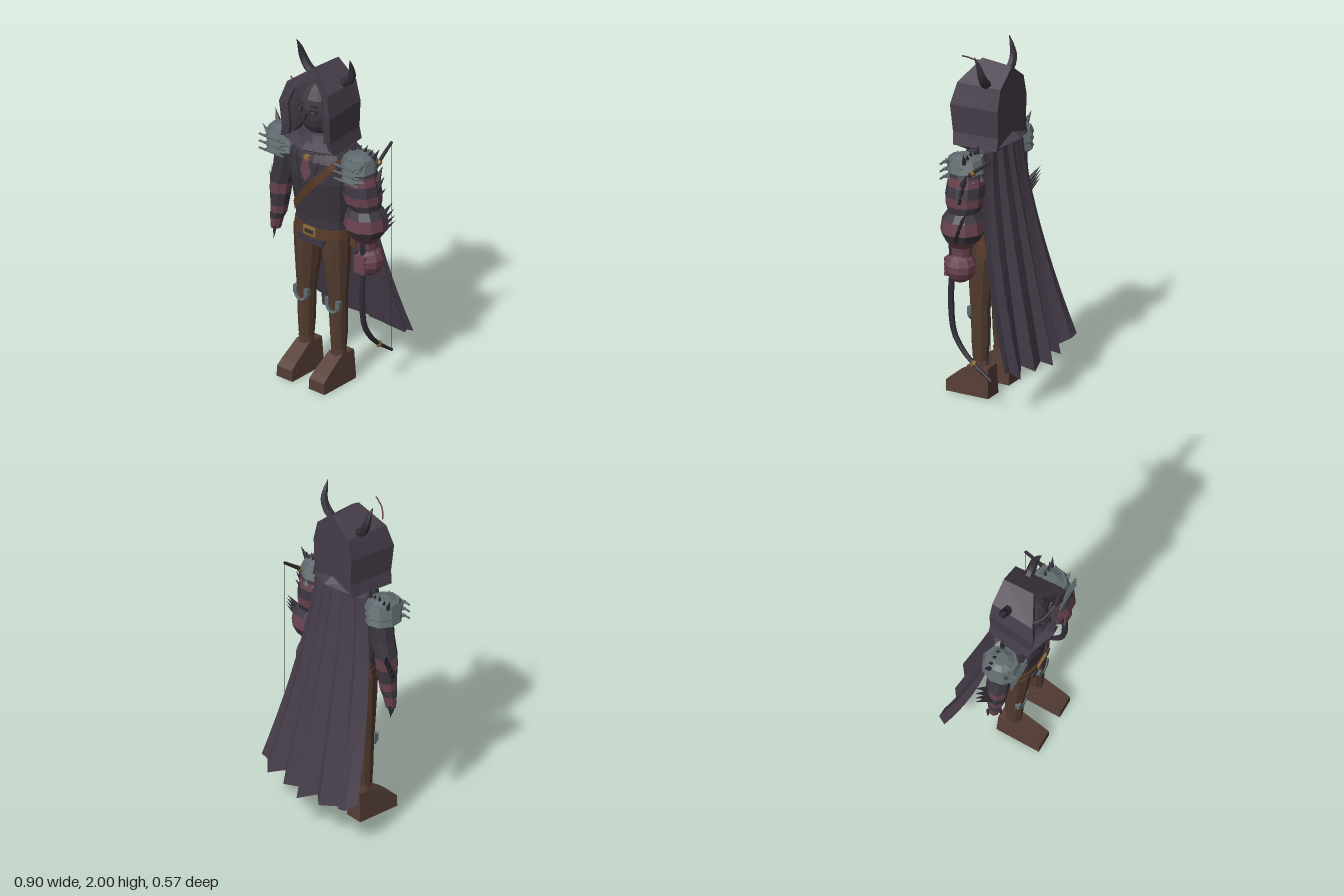
import * as THREE from 'three';

const mat = (name, color, side = THREE.FrontSide) => new THREE.MeshStandardMaterial({ name, color, side });
const V = (x, y, z) => new THREE.Vector3(x, y, z);
const lerp = THREE.MathUtils.lerp;

export function createModel() {
  const D = THREE.DoubleSide;
  const M = {
    cloth: mat('hoodCloth', 0x453c49, D), tunic: mat('tunicCloth', 0x3d3741, D),
    dark: mat('darkHorn', 0x322d37, D), maroon: mat('maroonStripe', 0x69434f, D),
    trousers: mat('brownTrousers', 0x523b2f), boots: mat('bootLeather', 0x553e36),
    leather: mat('strapLeather', 0x5a3c2a, D), gold: mat('brass', 0x8a6c38), steel: mat('steel', 0x606a6e),
  };
  const model = new THREE.Group();
  model.name = 'hoodedArcher';
  const body = new THREE.Group();
  body.name = 'figure';
  body.position.x = -0.025;
  model.add(body);

  const add = (name, geo, material) => {
    const m = new THREE.Mesh(geo, material);
    m.name = name;
    body.add(m);
    return m;
  };
  const flat = (g) => {
    const f = g.index ? g.toNonIndexed() : g;
    f.computeVertexNormals();
    return f;
  };
  // Flat-shaded skin between rows of points; bands become material groups
  const strip = (rows, bands) => {
    const pos = [], g = new THREE.BufferGeometry();
    for (let i = 0; i + 1 < rows.length; i++) {
      const start = pos.length / 3, r = rows[i], s = rows[i + 1];
      for (let j = 0; j + 1 < r.length; j++)
        for (const p of [r[j], r[j + 1], s[j + 1], r[j], s[j + 1], s[j]]) pos.push(p.x, p.y, p.z);
      if (bands) g.addGroup(start, pos.length / 3 - start, bands[i]);
    }
    g.setAttribute('position', new THREE.Float32BufferAttribute(pos, 3));
    g.computeVertexNormals();
    return g;
  };
  // Closed loft through elliptical rings [y, cx, cz, rx, rz], bottom to top
  const loft = (rings, n = 8, bands) => {
    const ring = ([y, cx, cz, rx, rz = rx], k = 1) => Array.from({ length: n + 1 }, (_, j) => {
      const a = ((j + 0.5) / n) * Math.PI * 2;
      return V(cx + Math.sin(a) * rx * k, y, cz + Math.cos(a) * rz * k);
    });
    const rows = [ring(rings[0], 0), ...rings.map((r) => ring(r)), ring(rings[rings.length - 1], 0)];
    return strip(rows, bands && [bands[0], ...bands, bands[bands.length - 1]]);
  };
  // Tapered tube along a curve
  const tube = (pts, radii, n = 6, seg = 12) => {
    const curve = new THREE.CatmullRomCurve3(pts.map((p) => V(...p)));
    const g = new THREE.TubeGeometry(curve, seg, 1, n), p = g.attributes.position, v = V(0, 0, 0);
    for (let i = 0; i <= seg; i++) {
      const c = curve.getPointAt(i / seg), f = (i / seg) * (radii.length - 1), k = Math.min(Math.floor(f), radii.length - 2);
      for (let j = 0; j <= n; j++) {
        const id = i * (n + 1) + j;
        v.fromBufferAttribute(p, id).sub(c).multiplyScalar(lerp(radii[k], radii[k + 1], f - k)).add(c);
        p.setXYZ(id, v.x, v.y, v.z);
      }
    }
    return flat(g);
  };
  const spike = (name, from, to, r, material = M.dark) => {
    const a = V(...from), d = V(...to).sub(a), g = new THREE.ConeGeometry(r, d.length(), 5);
    g.translate(0, d.length() / 2, 0);
    const m = add(name, flat(g), material);
    m.position.copy(a);
    m.quaternion.setFromUnitVectors(V(0, 1, 0), d.normalize());
  };
  const box = (name, w, h, d, x, y, z, material) => {
    const m = add(name, new THREE.BoxGeometry(w, h, d), material);
    m.position.set(x, y, z);
    return m;
  };

  // Torso
  const T = [[0.88, 0, 0.1, 0.17, 0.095], [1.0, 0, 0.1, 0.172, 0.1], [1.1, 0, 0.105, 0.186, 0.108],
    [1.25, 0, 0.115, 0.202, 0.125], [1.37, 0, 0.115, 0.192, 0.12], [1.42, 0, 0.11, 0.16, 0.1], [1.46, 0, 0.11, 0.09, 0.08]];
  add('tunic', loft(T, 14), M.tunic);
  const torsoZ = (x, y, side) => {
    let i = 0;
    while (i < T.length - 2 && T[i + 1][0] < y) i++;
    const t = THREE.MathUtils.clamp((y - T[i][0]) / (T[i + 1][0] - T[i][0]), 0, 1);
    const [, , cz, rx, rz] = T[i].map((v, k) => lerp(v, T[i + 1][k], t));
    return cz + side * (rz * Math.sqrt(Math.max(0, 1 - (x / rx) ** 2)) + 0.005);
  };
  // Band of cloth lying on the torso
  const ribbon = (name, [x0, y0], [x1, y1], w0, w1, material, side = 1, lift = 0) => {
    const l = Math.hypot(x1 - x0, y1 - y0), nx = (y0 - y1) / l, ny = (x1 - x0) / l;
    const row = (s) => Array.from({ length: 11 }, (_, i) => {
      const t = i / 10, w = lerp(w0, w1, t) * s, x = lerp(x0, x1, t) + nx * w, y = lerp(y0, y1, t) + ny * w;
      return V(x, y, torsoZ(x, y, side) + lift * side);
    });
    add(name, strip([row(-0.5), row(0.5)]), material);
  };
  for (const side of [1, -1]) ribbon('shoulderStrap', [-0.18, 0.98], [0.175, 1.39], 0.042, 0.042, M.leather, side, 0.006);
  ribbon('tie', [0, 1.39], [0, 1.31], 0.03, 0.075, M.maroon, 1, 0.004);
  ribbon('tieTip', [0, 1.31], [0, 1.25], 0.075, 0.005, M.maroon, 1, 0.004);
  box('tiePin', 0.035, 0.022, 0.02, 0, 1.39, 0.228, M.gold);
  for (const s of [1, -1]) ribbon('lapel', [s * 0.085, 1.4], [s * 0.03, 1.18], 0.02, 0.01, M.dark);
  box('strapBuckle', 0.035, 0.05, 0.012, 0.08, 1.28, 0.238, M.leather).rotation.z = 0.6;
  add('belt', loft([[0.88, 0, 0.1, 0.18, 0.106], [0.95, 0, 0.1, 0.177, 0.106]], 14), M.leather);
  box('buckle', 0.085, 0.05, 0.02, 0, 0.925, 0.204, M.gold);
  box('buckleInset', 0.055, 0.022, 0.022, 0, 0.925, 0.207, M.dark);
  box('pouch', 0.04, 0.075, 0.06, 0.19, 0.875, 0.04, M.leather);
  const flap = new THREE.Shape([[-0.1, 0.89], [-0.08, 0.845], [0.08, 0.845], [0.1, 0.89]].map((p) => new THREE.Vector2(...p)));
  add('tunicFlap', new THREE.ExtrudeGeometry(flap, { depth: 0.012, bevelEnabled: false }), M.tunic).position.z = 0.19;

  // Legs, knee guards and boots
  add('hips', loft([[0.83, 0, 0.1, 0.1, 0.07], [0.89, 0, 0.1, 0.175, 0.095]], 12), M.trousers);
  for (const s of [1, -1]) {
    const leg = [[0.17, 0.115, 0.1, 0.04], [0.3, 0.115, 0.098, 0.047, 0.052], [0.42, 0.113, 0.1, 0.051, 0.054],
      [0.5, 0.112, 0.103, 0.053, 0.055], [0.65, 0.104, 0.102, 0.069], [0.78, 0.099, 0.1, 0.079, 0.084], [0.9, 0.092, 0.1, 0.09]];
    add('leg', loft(leg.map(([y, x, ...r]) => [y, x * s, ...r]), 10), M.trousers);
    const guard = add('kneeGuard', flat(new THREE.TorusGeometry(0.037, 0.012, 5, 8, Math.PI)), M.steel);
    guard.rotation.z = Math.PI;
    guard.position.set(s * 0.113, 0.475, 0.15);
    for (const k of [1, -1]) box('kneeGuardTab', 0.026, 0.045, 0.026, s * 0.113 + k * 0.039, 0.492, 0.144, M.steel);

    const side = new THREE.Shape([[0.02, 0], [0.285, 0], [0.285, 0.065], [0.25, 0.095], [0.13, 0.175], [0.025, 0.175]].map((p) => new THREE.Vector2(...p)));
    const g = new THREE.ExtrudeGeometry(side, { depth: 0.114, bevelEnabled: false });
    g.translate(0, 0, -0.057).rotateY(-Math.PI / 2);
    const p = g.attributes.position;
    for (let i = 0; i < p.count; i++) p.setX(i, p.getX(i) * (1 - p.getY(i) * 1.1));
    add('boot', flat(g), M.boots).position.x = s * 0.115;
    add('bootCuff', loft([[0.165, s * 0.115, 0.095, 0.047, 0.05], [0.2, s * 0.115, 0.1, 0.045, 0.046]]), M.boots);
  }

  // Slim right arm with clawed hand
  const dm = [M.tunic, M.maroon];
  add('rightArm', loft([[0.79, -0.335, 0.1, 0.03], [0.86, -0.327, 0.1, 0.04], [0.9, -0.314, 0.1, 0.048], [0.95, -0.308, 0.1, 0.053],
    [1.03, -0.302, 0.1, 0.062], [1.1, -0.295, 0.1, 0.066], [1.2, -0.268, 0.1, 0.068], [1.3, -0.25, 0.1, 0.073], [1.4, -0.245, 0.1, 0.07]],
  8, [1, 0, 1, 0, 1, 0, 0, 0]), dm);
  for (let i = 0; i < 4; i++) spike('claw', [-0.355 + 0.012 * i, 0.81, 0.075 + 0.017 * i], [-0.365 + 0.015 * i, 0.735, 0.075 + 0.02 * i], 0.013);

  // Heavy left arm with round fist
  add('leftArm', loft([[0.88, 0.32, 0.1, 0.055], [0.94, 0.318, 0.1, 0.062], [0.98, 0.313, 0.1, 0.098], [1.03, 0.312, 0.1, 0.124],
    [1.1, 0.312, 0.1, 0.113], [1.14, 0.303, 0.1, 0.088], [1.18, 0.29, 0.1, 0.106], [1.23, 0.285, 0.1, 0.11],
    [1.29, 0.275, 0.1, 0.105], [1.34, 0.27, 0.1, 0.098], [1.4, 0.265, 0.1, 0.08]], 10, [1, 1, 0, 1, 0, 0, 1, 0, 1, 0]), dm);
  const fist = add('leftFist', flat(new THREE.SphereGeometry(0.087, 9, 7)), M.maroon);
  fist.position.set(0.332, 0.82, 0.1);
  for (let i = 0; i < 4; i++) box('finger', 0.075, 0.022, 0.03, 0.33, 0.775 + 0.028 * i, 0.17, M.maroon);
  box('thumb', 0.028, 0.07, 0.035, 0.285, 0.85, 0.16, M.tunic);

  // Forearm and upper arm spikes, swept up, out and back
  for (const s of [1, -1]) {
    for (let i = 0; i < 4; i++) {
      const x = s * ((s > 0 ? 0.405 : 0.35) + [0.01, 0.012, 0.008, 0][i]), y = 0.99 + 0.03 * i, z = 0.095 - 0.008 * i;
      const out = 0.055 - 0.01 * i;
      spike('forearmSpike', [x - s * 0.02, y, z], [x + s * out + (s < 0 ? -0.02 : 0), y + 0.095, z - 0.055], 0.02);
    }
  }
  for (let i = 0; i < 3; i++) spike('upperArmSpike', [0.365, 1.19 + 0.06 * i, 0.09 - 0.01 * i], [0.415 - 0.02 * i, 1.27 + 0.06 * i, 0.055 - 0.01 * i], 0.02);

  // Layered pauldrons with rods and spikes
  for (const s of [1, -1]) {
    const x = s * 0.268;
    for (let k = 0; k < 3; k++) {
      const y = 1.3 + 0.043 * k;
      add('pauldronPlate', loft([[y, x, 0.105, 0.072, 0.085], [y + 0.02, x, 0.105, 0.098, 0.11], [y + 0.055, x, 0.105, 0.084, 0.095]], 9), M.steel);
      const rod = add('pauldronRod', new THREE.CylinderGeometry(0.006, 0.006, 0.175, 6), M.steel);
      rod.rotation.z = Math.PI / 2;
      rod.position.set(x, y + 0.02, 0.215);
      for (const q of [-0.045, 0.045]) box('rodStud', 0.012, 0.012, 0.02, x + q, y + 0.02, 0.211, M.steel);
    }
    add('pauldronCap', loft([[1.4, x, 0.105, 0.099, 0.111], [1.435, x, 0.105, 0.085, 0.092], [1.458, x, 0.105, 0.04, 0.04]], 9), M.steel);
    for (let i = 0; i < 5; i++) {
      const q = s * (-0.07 + 0.035 * i);
      spike('pauldronSpike', [x + q, 1.43, 0.075], [x + q * 1.2 + s * 0.022, 1.5 - 0.014 * (i % 2), 0.06], 0.016);
    }
    for (let i = 0; i < 4; i++) spike('pauldronPeak', [x + s * (0.03 * i - 0.03), 1.4, 0.17], [x + s * (0.045 * i - 0.04), 1.455, 0.18], 0.016, M.steel);
  }

  // Pleated cape: hem points [x, y, z], the sides wrapping forward
  const hem = [[-0.385, 0.3, -0.185], [-0.345, 0.26, -0.24], [-0.29, 0.25, -0.24], [-0.245, 0.22, -0.185], [-0.145, 0.21, -0.255],
    [-0.095, 0.24, -0.22], [0, 0.2, -0.29], [0.045, 0.23, -0.235], [0.145, 0.21, -0.26], [0.195, 0.25, -0.2], [0.29, 0.21, -0.25],
    [0.335, 0.26, -0.21], [0.385, 0.27, -0.21]];
  const capeTop = ([x, , z]) => V(x * 0.54, 1.45, -0.015 + 0.25 * (z + 0.22) + 0.25 * x * x);
  add('cape', strip(Array.from({ length: 11 }, (_, i) => hem.map((h) => {
    const t = i / 10, [x, y, z] = h, top = capeTop(h);
    return V(lerp(top.x, x, t), lerp(1.45, y, t), lerp(top.z, z, t ** (1.1 + 0.7 * (x / 0.385) ** 2)));
  }))), M.cloth);
  add('capeYoke', strip([hem.map(([x]) => V(x * 0.4, 1.47, 0.06)), hem.map(capeTop)]), M.cloth);

  // Hood: half profile [x, y, front z]
  const half = [[0.19, 1.46, 0.23], [0.172, 1.53, 0.24], [0.18, 1.69, 0.255], [0.144, 1.81, 0.23], [0, 1.92, 0.155]];
  const inner = [[0.14, 1.48, 0.22], [0.125, 1.56, 0.23], [0.132, 1.68, 0.24], [0.105, 1.77, 0.22], [0, 1.84, 0.165]];
  const arch = (h, f) => [...h.map(([x, y, z]) => f(-x, y, z)), ...h.slice(0, -1).reverse().map(([x, y, z]) => f(x, y, z))];
  add('hood', strip([arch(inner, V), arch(half, V), arch(half, (x, y) => V(x * 0.88, Math.min(y, 1.905), -0.032)), arch(half, () => V(0, 1.46, -0.036))]), M.cloth);
  add('hoodLining', strip([arch(inner, (x, y) => V(x, y, 0.1)), arch(inner, V)]), M.tunic);
  const hex = [[0, 1.46, 0.283], [0.185, 1.46, 0.22], [0.15, 1.475, -0.035], [0, 1.495, -0.093], [-0.15, 1.475, -0.035], [-0.185, 1.46, 0.22], [0, 1.46, 0.283]];
  const hexRow = (k, dy) => hex.map(([x, y, z]) => V(x * k, y + dy, 0.1 + (z - 0.1) * k));
  add('hoodCollar', strip([hexRow(0.65, -0.04), hexRow(1, 0), hexRow(0.72, 0.03)]), M.cloth);
  add('scarf', loft([[1.4, 0, 0.115, 0.09, 0.09], [1.42, 0, 0.115, 0.128, 0.122], [1.45, 0, 0.115, 0.12, 0.115],
    [1.475, 0, 0.115, 0.13, 0.122], [1.53, 0, 0.115, 0.105, 0.1]], 12), M.cloth);

  // Masked face
  const face = add('face', flat(new THREE.SphereGeometry(1, 12, 9).scale(0.122, 0.16, 0.115)), M.tunic);
  face.position.set(0, 1.665, 0.13);
  const brow = add('hoodShade', strip([arch(inner, () => V(0, 1.66, 0.17)), arch(inner, (x, y, z) => V(x, y, z - 0.02))]), M.tunic);
  brow.position.z = 0.005;
  for (const s of [1, -1]) {
    box('eyeSocket', 0.044, 0.03, 0.009, s * 0.046, 1.682, 0.233, M.dark).rotation.y = s * 0.35;
    box('eye', 0.018, 0.01, 0.009, s * 0.046, 1.682, 0.237, M.maroon).rotation.y = s * 0.35;
    box('brow', 0.05, 0.01, 0.012, s * 0.048, 1.715, 0.228, M.dark).rotation.z = s * 0.2;
    // Horns
    add('horn', tube([[s * 0.11, 1.815, 0.06], [s * 0.145, 1.84, 0.058], [s * 0.176, 1.89, 0.06], [s * 0.184, 1.95, 0.075], [s * 0.19, 1.998, 0.095]],
      [0.027, 0.026, 0.022, 0.014, 0.002], 6), M.dark);
  }
  spike('nose', [0, 1.665, 0.238], [0, 1.615, 0.268], 0.02);
  box('mouth', 0.05, 0.008, 0.009, 0, 1.59, 0.228, M.dark);
  add('looseThread', tube([[-0.125, 1.845, 0.22], [-0.09, 1.855, 0.25], [-0.06, 1.875, 0.268], [0, 1.905, 0.28]], [0.004, 0.004], 4), M.maroon);

  // Bow held in the left fist
  const bx = 0.333, arc = [[0.643, -0.09], [0.56, 0.02], [0.5, 0.08], [0.4, 0.14], [0.2, 0.16], [0, 0.15]];
  const limbs = [...arc.map(([y, z]) => [bx, 0.828 - y, z]), ...arc.slice(0, -1).reverse().map(([y, z]) => [bx, 0.828 + y, z])];
  add('bow', tube(limbs, [0.009, 0.015, 0.017, 0.017, 0.017, 0.015, 0.009], 6, 28), M.dark);
  add('bowString', new THREE.CylinderGeometry(0.0016, 0.0016, 1.28, 4), M.dark).position.set(bx, 0.828, -0.09);
  for (const s of [1, -1]) {
    const ring = add('bowRing', flat(new THREE.CylinderGeometry(0.018, 0.018, 0.02, 6)), M.gold);
    ring.position.set(bx, 0.828 + s * 0.56, 0.02);
    ring.rotation.x = -s * 0.9;
  }
  return model;
}
